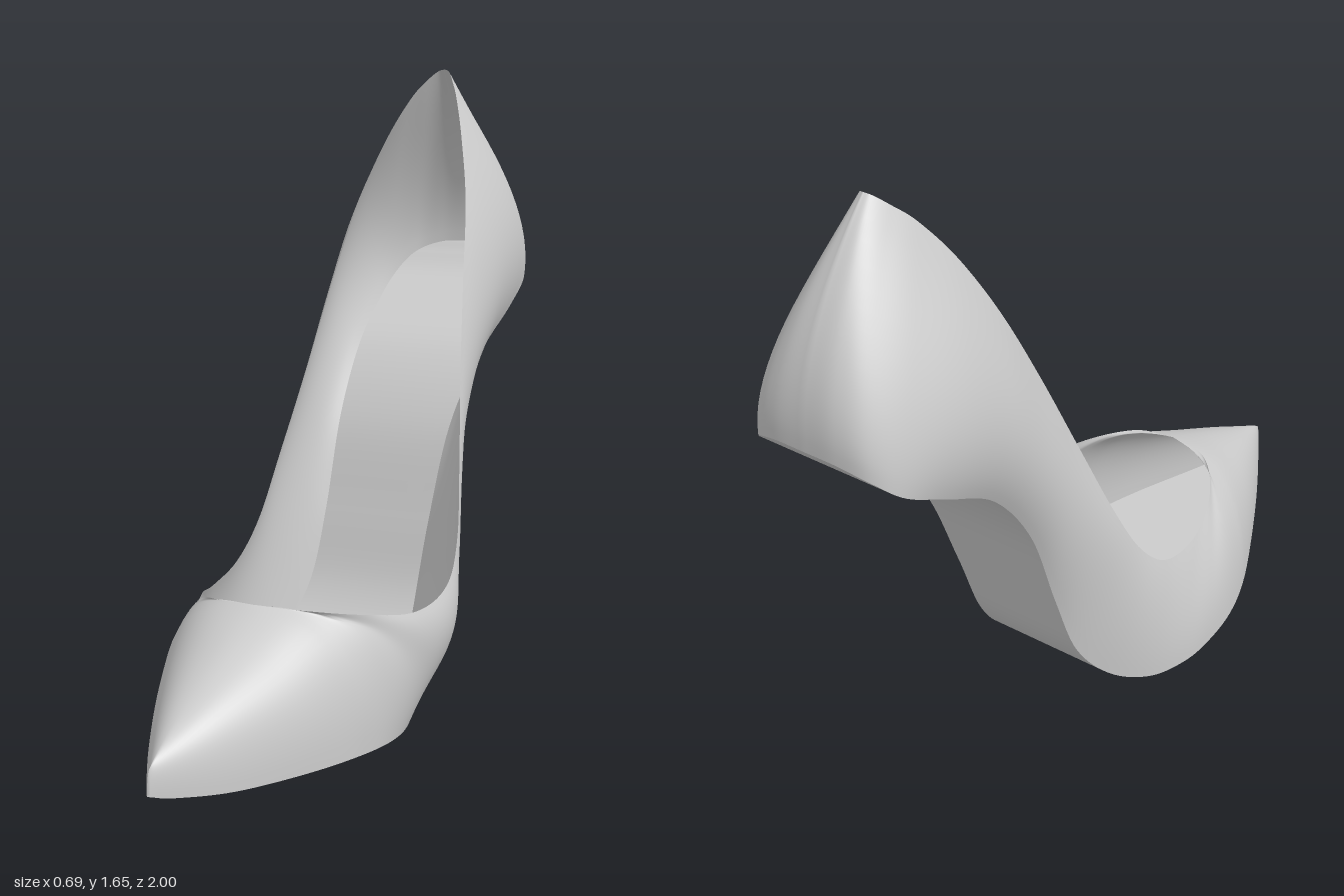
import * as THREE from 'three';
import { mergeVertices } from 'three/addons/utils/BufferGeometryUtils.js';

// Stations run from toe to heel. Each row: z, y, x on the right side, x on the left side.
const soleEdge = [
  [1, 0.09, 0, 0], [0.94, 0.07, -0.036, 0.036], [0.8, 0.045, -0.115, 0.115], [0.6, 0.03, -0.215, 0.207],
  [0.42, 0.02, -0.295, 0.268], [0.28, 0.012, -0.335, 0.29], [0.15, 0.004, -0.345, 0.275],
  [0.04, 0, -0.335, 0.23], [-0.08, 0.013, -0.3, 0.18], [-0.2, 0.08, -0.25, 0.13],
  [-0.3, 0.21, -0.21, 0.115], [-0.37, 0.41, -0.192, 0.125], [-0.46, 0.66, -0.188, 0.15],
  [-0.6, 0.85, -0.19, 0.19], [-0.78, 0.965, -0.2, 0.215], [-0.91, 1.04, -0.195, 0.215],
  [-0.97, 1.095, -0.155, 0.175], [-0.995, 1.125, -0.08, 0.1], [-1, 1.13, 0.01, 0.01],
];
const wallMiddle = [
  [0.997, 0.125, 0, 0], [0.94, 0.145, -0.028, 0.028], [0.8, 0.19, -0.087, 0.087], [0.615, 0.24, -0.16, 0.157],
  [0.44, 0.29, -0.22, 0.21], [0.32, 0.255, -0.28, 0.275], [0.2, 0.2, -0.315, 0.315],
  [0.08, 0.18, -0.322, 0.333], [-0.04, 0.2, -0.31, 0.322], [-0.15, 0.3, -0.285, 0.275],
  [-0.24, 0.46, -0.265, 0.25], [-0.34, 0.66, -0.25, 0.235], [-0.45, 0.88, -0.24, 0.24],
  [-0.58, 1.07, -0.236, 0.25], [-0.72, 1.2, -0.22, 0.24], [-0.84, 1.28, -0.175, 0.2],
  [-0.915, 1.33, -0.12, 0.14], [-0.942, 1.365, -0.06, 0.08], [-0.947, 1.38, 0.01, 0.01],
];
// Ridge over the toe, then the rim of the opening
const topEdge = [
  [0.99, 0.15, 0, 0], [0.94, 0.178, 0, 0], [0.8, 0.24, 0, 0], [0.64, 0.31, 0, 0],
  [0.48, 0.38, 0, 0], [0.455, 0.373, -0.12, 0.12], [0.34, 0.345, -0.215, 0.24],
  [0.18, 0.316, -0.268, 0.305], [0.02, 0.34, -0.28, 0.325], [-0.09, 0.435, -0.268, 0.313],
  [-0.19, 0.605, -0.25, 0.28], [-0.29, 0.835, -0.213, 0.243], [-0.4, 1.08, -0.18, 0.207],
  [-0.5, 1.29, -0.145, 0.175], [-0.59, 1.455, -0.1, 0.128], [-0.67, 1.565, -0.06, 0.082],
  [-0.72, 1.615, -0.032, 0.05], [-0.75, 1.643, -0.008, 0.028], [-0.76, 1.65, 0.01, 0.01],
];
const VAMP_END = 4;            // station where the opening begins
const LAST = soleEdge.length - 1;
const STEPS = 8;               // subdivisions per station

// Smooth curve through one side of a station table, addressed by station number
function edge(rows, side) {
  const curve = new THREE.CatmullRomCurve3(
    rows.map((r) => new THREE.Vector3(r[2 + side], r[1], r[0])), false, 'catmullrom', 0.5);
  return (s) => curve.getPoint(s / (rows.length - 1));
}

// Smooth surface from rows x columns of points
function gridMesh(name, rows, cols, pointAt) {
  const pos = [], index = [];
  for (let i = 0; i <= rows; i++) {
    for (let j = 0; j <= cols; j++) pos.push(...pointAt(i, j / cols).toArray());
  }
  for (let i = 0; i < rows; i++) {
    for (let j = 0; j < cols; j++) {
      const a = i * (cols + 1) + j, b = a + cols + 1;
      index.push(a, b, b + 1, a, b + 1, a + 1);
    }
  }
  let geo = new THREE.BufferGeometry();
  geo.setAttribute('position', new THREE.Float32BufferAttribute(pos, 3));
  geo.setIndex(index);
  geo = mergeVertices(geo, 1e-5);
  geo.computeVertexNormals();
  const mesh = new THREE.Mesh(geo, new THREE.MeshStandardMaterial({ color: 0xcccccc, side: THREE.DoubleSide }));
  mesh.name = name;
  return mesh;
}

export function createModel() {
  const shoe = new THREE.Group();
  shoe.name = 'highHeelShoe';
  const n = LAST * STEPS;

  const sides = [0, 1].map((side) => {
    const ridge = edge(topEdge.slice(0, VAMP_END + 1), side);
    const rim = edge(topEdge.slice(VAMP_END), side);
    return {
      sole: edge(soleEdge, side),
      middle: edge(wallMiddle, side),
      top: (s) => (s <= VAMP_END ? ridge(s) : rim(s - VAMP_END)),
    };
  });

  // Parabolic wall section through sole edge, middle and top
  const wallPoint = (side, s, u) => {
    const { sole, middle, top } = sides[side];
    return sole(s).multiplyScalar((1 - u) * (1 - 2 * u))
      .addScaledVector(middle(s), 4 * u * (1 - u))
      .addScaledVector(top(s), u * (2 * u - 1));
  };

  // Upper: left side toe to heel, then right side back to the toe
  shoe.add(gridMesh('upper', 2 * n, 16, (i, u) =>
    (i <= n ? wallPoint(1, i / STEPS, u) : wallPoint(0, (2 * n - i) / STEPS, u))));

  // Sole spans both lower edges and also shows as the insole
  shoe.add(gridMesh('sole', n, 8, (i, u) =>
    sides[0].sole(i / STEPS).lerp(sides[1].sole(i / STEPS), u)));

  return shoe;
}
